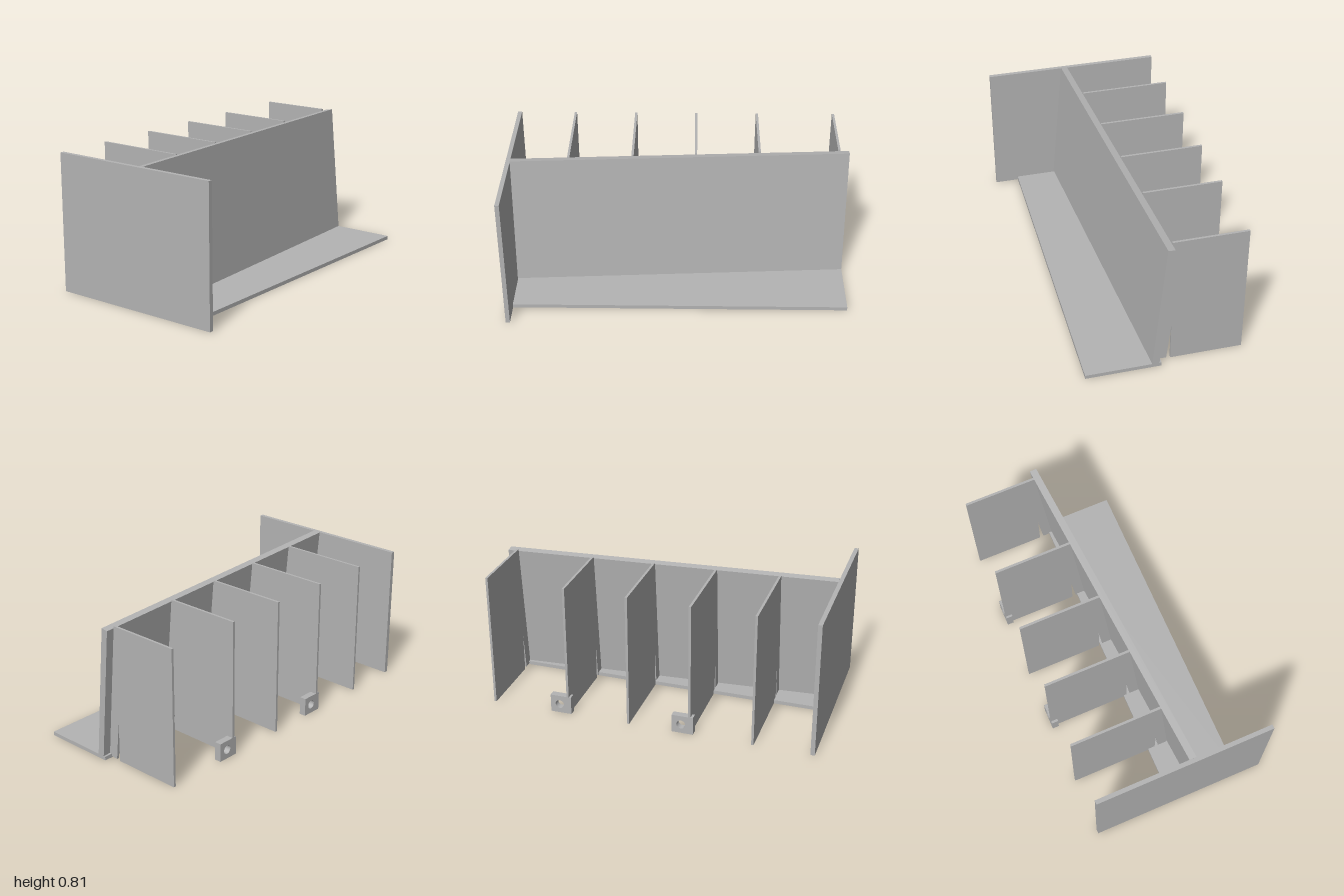
import * as THREE from 'three';

const grey = new THREE.MeshStandardMaterial({ color: 0xb4b4b4 });
grey.name = 'plain grey';

const YAW = 0.0685;  // how far the panel moves back per unit of x
const LEAN = 0.0885; // how far the panel leans back per unit of y

function add(group, name, geometry) {
  const mesh = new THREE.Mesh(geometry, grey);
  mesh.name = name;
  group.add(mesh);
  return mesh;
}

// box given by its low and high corners
function slab([x0, y0, z0], [x1, y1, z1]) {
  return new THREE.BoxGeometry(x1 - x0, y1 - y0, z1 - z0)
    .translate((x0 + x1) / 2, (y0 + y1) / 2, (z0 + z1) / 2);
}

// plate that leans back and is turned slightly, by shearing a box
function leaningPanel() {
  const g = new THREE.BoxGeometry(1.97, 0.783, 0.041);
  const p = g.attributes.position;
  for (let i = 0; i < p.count; i++) {
    const x = p.getX(i), y = p.getY(i), z = p.getZ(i);
    p.setXYZ(i, x, y - 0.005 * x + 0.15 * z, z - YAW * x - LEAN * y);
  }
  g.computeVertexNormals();
  return g.translate(0.01, 0.415, 0.018);
}

// rib whose front strip follows the panel, with a narrow wedge cut at the foot
function rib(x, thickness) {
  const front = -0.031 + (0.94 - x) * YAW;
  const outline = [
    [front, 0.008], [front - 0.058, 0.004], [front - 0.082, 0.235],
    [front - 0.082, 0], [-0.53, 0], [-0.53, 0.81], [front - 0.071, 0.81],
  ].map(([z, y]) => new THREE.Vector2(z, y));
  return new THREE.ExtrudeGeometry(new THREE.Shape(outline), { depth: thickness, bevelEnabled: false })
    .rotateY(-Math.PI / 2)
    .translate(x + thickness / 2, 0, 0);
}

// small block with a round bolt hole
function lug(x) {
  const w = 0.127, h = 0.11;
  const shape = new THREE.Shape([[0, 0], [w, 0], [w, h], [0, h]].map(([a, b]) => new THREE.Vector2(a, b)));
  const hole = new THREE.Path();
  hole.absarc(w / 2 + 0.008, h / 2, 0.026, 0, Math.PI * 2, true);
  shape.holes.push(hole);
  return new THREE.ExtrudeGeometry(shape, { depth: 0.04, bevelEnabled: false, curveSegments: 24 })
    .translate(x, 0, -0.53);
}

export function createModel() {
  const model = new THREE.Group();
  model.name = 'ribbedStand';

  add(model, 'endPanel', slab([-1, 0, -0.53], [-0.975, 0.81, 0.53]));
  add(model, 'baseShelf', slab([-0.975, 0, -0.048], [0.995, 0.022, 0.387]));
  add(model, 'leaningPanel', leaningPanel());

  // ribs behind the panel
  for (const x of [0.937, 0.47, 0.098, -0.271, -0.643]) add(model, 'rib', rib(x, 0.014));

  // bolt lugs at the back of two ribs
  for (const x of [0.45, -0.293]) add(model, 'boltLug', lug(x));

  return model;
}
